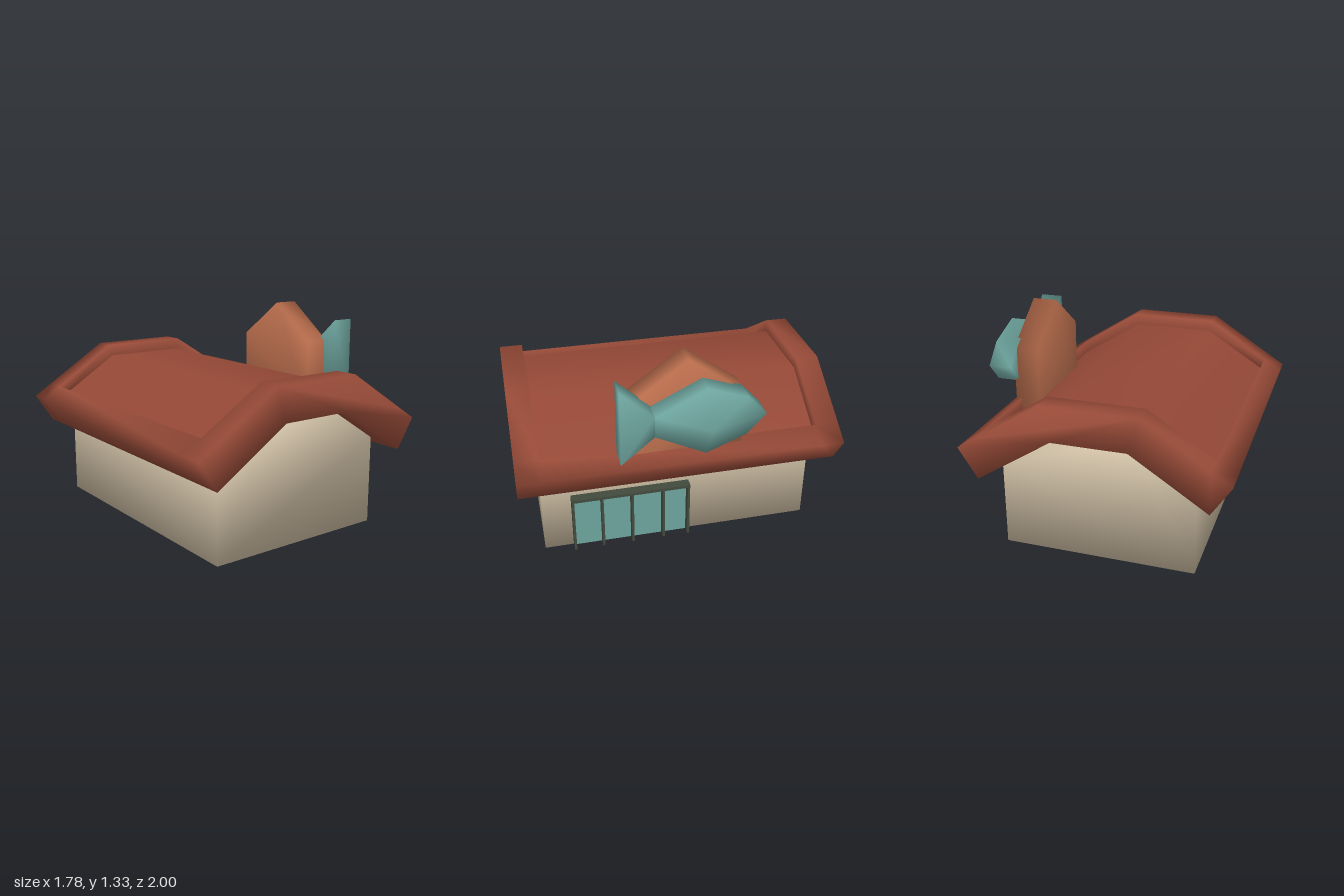
import * as THREE from 'three';
import { mergeVertices } from 'three/addons/utils/BufferGeometryUtils.js';

const material = (name, color, side = THREE.FrontSide) => {
  const m = new THREE.MeshStandardMaterial({ color, side });
  m.name = name;
  return m;
};

// Weld the corners so shading runs smoothly over the edges
function smooth(geometry) {
  geometry.deleteAttribute('normal');
  geometry.deleteAttribute('uv');
  const g = mergeVertices(geometry, 1e-4);
  g.computeVertexNormals();
  return g;
}

// Closed solid through cross-sections of equal length, each { d, pts },
// ordered from back to front with counter-clockwise points.
function loft(sections, skip = () => false) {
  const n = sections[0].pts.length;
  const position = [];
  const index = [];
  sections.forEach(({ d, pts }) => pts.forEach(([x, y]) => position.push(x, y, d)));
  for (let s = 0; s < sections.length - 1; s++) {
    for (let i = 0; i < n; i++) {
      if (skip(s, i)) continue;
      const a = s * n + i;
      const b = s * n + (i + 1) % n;
      index.push(a, b, b + n, a, b + n, a + n);
    }
  }
  const cap = (s, flip) => {
    const v = sections[s].pts.map(([x, y]) => new THREE.Vector2(x, y));
    for (const [a, b, c] of THREE.ShapeUtils.triangulateShape(v, [])) {
      const o = s * n;
      index.push(o + a, o + (flip ? c : b), o + (flip ? b : c));
    }
  };
  cap(0, true);
  cap(sections.length - 1, false);
  const g = new THREE.BufferGeometry();
  g.setAttribute('position', new THREE.Float32BufferAttribute(position, 3));
  g.setIndex(index);
  return smooth(g);
}

export function createModel() {
  const group = new THREE.Group();
  group.name = 'fishShop';
  const plaster = material('plaster', 0xd5c5aa);
  const roofTile = material('roofTile', 0x984b38);
  const roofDeckMat = material('roofDeck', 0x944836, THREE.DoubleSide);
  const signOrange = material('signOrange', 0xc17250);
  const teal = material('teal', 0x6da39d);
  const darkFrame = material('darkFrame', 0x424a3e);

  const add = (name, geometry, mat, parent = group) => {
    const mesh = new THREE.Mesh(geometry, mat);
    mesh.name = name;
    parent.add(mesh);
    return mesh;
  };

  // Walls, filled up to the underside of the roof
  const wall = [[-0.67, 0], [0.52, 0], [0.52, 0.553], [0.15, 0.79], [-0.305, 0.79], [-0.67, 0.555]];
  add('walls', loft([{ d: -0.86, pts: wall }, { d: 0.86, pts: wall }]), plaster);

  // Roof slab with a raised rim around a sunken deck
  const under = [[-0.77, 0.49], [-0.305, 0.79], [0.15, 0.79], [0.615, 0.49], [0.735, 0.675], [0.615, 0.751]];
  const leftEdge = [[-0.77, 0.751], [-0.89, 0.675]];
  const full = [...under, [0.615, 0.751], [0.215, 1.005], [-0.37, 1.005], [-0.77, 0.751], ...leftEdge];
  const deck = [[0.615, 0.665], [0.195, 0.93], [-0.35, 0.93], [-0.77, 0.665]];
  const sunken = [...under, ...deck, ...leftEdge];
  add('roof', loft([
    { d: -1, pts: full }, { d: -0.855, pts: full }, { d: -0.855, pts: sunken },
    { d: 0.855, pts: sunken }, { d: 0.855, pts: full }, { d: 1, pts: full },
  ], (s, i) => s === 2 && i >= 6 && i <= 8), roofTile);

  // Sunken deck surface
  const deckGeometry = new THREE.PlaneGeometry(1, 1, 3, 1);
  const p = deckGeometry.attributes.position;
  for (let i = 0; i < p.count; i++) {
    const [x, y] = deck[3 - i % 4];
    p.setXYZ(i, x, y, i < 4 ? -0.855 : 0.855);
  }
  add('roofDeck', smooth(deckGeometry), roofDeckMat);

  // Side window: glass plate behind a deep frame
  const storefront = new THREE.Group();
  storefront.name = 'storefront';
  group.add(storefront);
  const box = (name, size, pos, mat) =>
    add(name, new THREE.BoxGeometry(...size), mat, storefront).position.set(...pos);
  box('glass', [0.009, 0.375, 0.74], [0.5245, 0.1875, 0.305], teal);
  box('topFrame', [0.062, 0.02, 0.75], [0.549, 0.38, 0.305], darkFrame);
  for (const z of [0.672, 0.49, 0.3, 0.1, -0.062]) {
    box('frameBar', [0.06, 0.375, 0.015], [0.548, 0.1875, z], darkFrame);
  }

  // Roof sign, drawn with its front facing +z and turned to face +x
  const sign = new THREE.Group();
  sign.name = 'roofSign';
  sign.rotation.y = Math.PI / 2;
  group.add(sign);
  const board = [[-0.305, 0.66], [0.36, 0.66], [0.36, 1.085], [0.025, 1.325], [-0.305, 1.085]];
  add('signBoard', loft([{ d: 0.49, pts: board }, { d: 0.65, pts: board }]), signOrange, sign);

  // Fish: flat sided body rising to a point, with a forked tail
  const body = [[-0.2, 0.92], [0.105, 0.767], [0.345, 0.865], [0.46, 0.99], [0.345, 1.115], [0.105, 1.2], [-0.2, 1.05]];
  const apex = body.map(() => [0.11, 0.985]);
  add('fishBody', loft([{ d: 0.63, pts: body }, { d: 0.777, pts: body }, { d: 0.89, pts: apex }]), teal, sign);
  const tail = [[-0.4, 0.752], [-0.2, 0.92], [-0.2, 1.05], [-0.4, 1.232]];
  add('fishTail', loft([{ d: 0.63, pts: tail }, { d: 0.777, pts: tail }]), teal, sign);

  return group;
}
